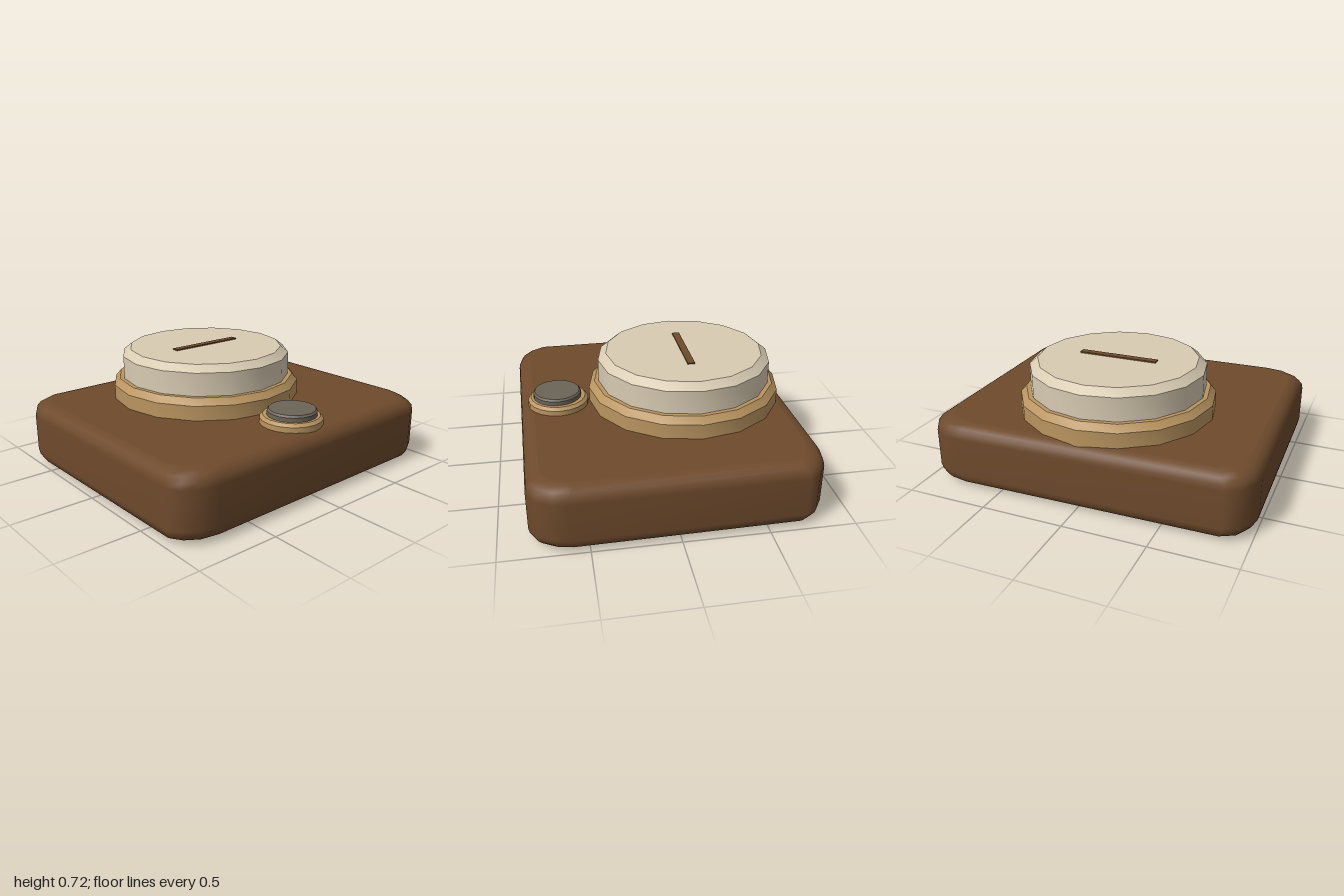
import * as THREE from 'three';
import { toCreasedNormals } from 'three/addons/utils/BufferGeometryUtils.js';

const material = (name, color) => {
  const m = new THREE.MeshStandardMaterial({ color });
  m.name = name;
  return m;
};

// Smooth wall through equal-sized loops of [x, y, z], listed from bottom to top
function wallGeometry(loops) {
  const n = loops[0].length;
  const index = [];
  for (let i = 0; i < loops.length - 1; i++) {
    for (let j = 0; j < n; j++) {
      const a = i * n + j, b = i * n + (j + 1) % n;
      index.push(a, a + n, b, b, a + n, b + n);
    }
  }
  const g = new THREE.BufferGeometry();
  g.setAttribute('position', new THREE.Float32BufferAttribute(loops.flat(2), 3));
  g.setIndex(index);
  g.computeVertexNormals();
  return g;
}

// Flat lid over one loop
function capGeometry(loop, up) {
  const index = [];
  for (let j = 1; j < loop.length - 1; j++) index.push(0, ...(up ? [j + 1, j] : [j, j + 1]));
  const g = new THREE.BufferGeometry();
  g.setAttribute('position', new THREE.Float32BufferAttribute(loop.flat(), 3));
  g.setIndex(index);
  g.computeVertexNormals();
  return g;
}

export function createModel() {
  const brown = material('brown wood', 0x6e4a2c);
  const tan = material('tan trim', 0xba9560);
  const cream = material('cream', 0xd8cbb2);
  const grey = material('warm grey', 0x6c6558);

  const model = new THREE.Group();
  const add = (name, geometry, mat, parent = model) => {
    const mesh = new THREE.Mesh(geometry, mat);
    mesh.name = name;
    parent.add(mesh);
    return mesh;
  };

  // Base: slightly skewed rounded slab, its second half is the first turned by 180 degrees
  const half = [[-0.85, -0.825], [0.75, -0.85], [0.86, -0.83], [0.935, -0.78],
    [0.98, -0.71], [1, 0.61], [0.985, 0.69], [0.935, 0.78]];
  const outline = [...half, ...half.map(([x, z]) => [-x, -z])];
  const height = 0.4, fillet = 0.085, steps = 4;
  const loopAt = (inset, y) => outline.map(([x, z]) => [x * (1 - inset), y, z * (1 - inset / 0.85)]);
  const bottom = [], top = [];
  for (let i = 0; i <= steps; i++) {
    const t = (i / steps) * Math.PI / 2;
    const inset = fillet * (1 - Math.sin(t)), y = fillet * (1 - Math.cos(t));
    bottom.push(loopAt(inset, y));
    top.unshift(loopAt(inset, height - y));
  }
  const base = new THREE.Group();
  base.name = 'base';
  model.add(base);
  add('baseWall', wallGeometry([...bottom, ...top]), brown, base);
  add('baseTop', capGeometry(top[steps], true), brown, base);
  add('baseUnderside', capGeometry(bottom[0], false), brown, base);

  // Bevelled discs: faceted outline, smooth around, crisp at the bevel
  const disc = (name, mat, z, radius, y0, y1, bevelIn, bevelDown, sides) => {
    const profile = [[0, y0], [radius, y0], [radius, y1 - bevelDown], [radius - bevelIn, y1], [0, y1]]
      .map(([r, y]) => new THREE.Vector2(r, y));
    add(name, toCreasedNormals(new THREE.LatheGeometry(profile, sides), 0.6), mat).position.z = z;
  };
  disc('dialRing', tan, -0.195, 0.6, 0.39, 0.53, 0.035, 0.04, 16);
  disc('dialCap', cream, -0.195, 0.538, 0.52, 0.712, 0.05, 0.04, 16);
  disc('buttonRing', tan, 0.6, 0.187, 0.39, 0.45, 0.018, 0.018, 20);
  disc('button', grey, 0.605, 0.148, 0.44, 0.488, 0.01, 0.012, 20);

  // Marker bar on the dial
  add('dialMarker', new THREE.BoxGeometry(0.49, 0.009, 0.045), brown).position.set(0, 0.7155, -0.195);

  return model;
}
